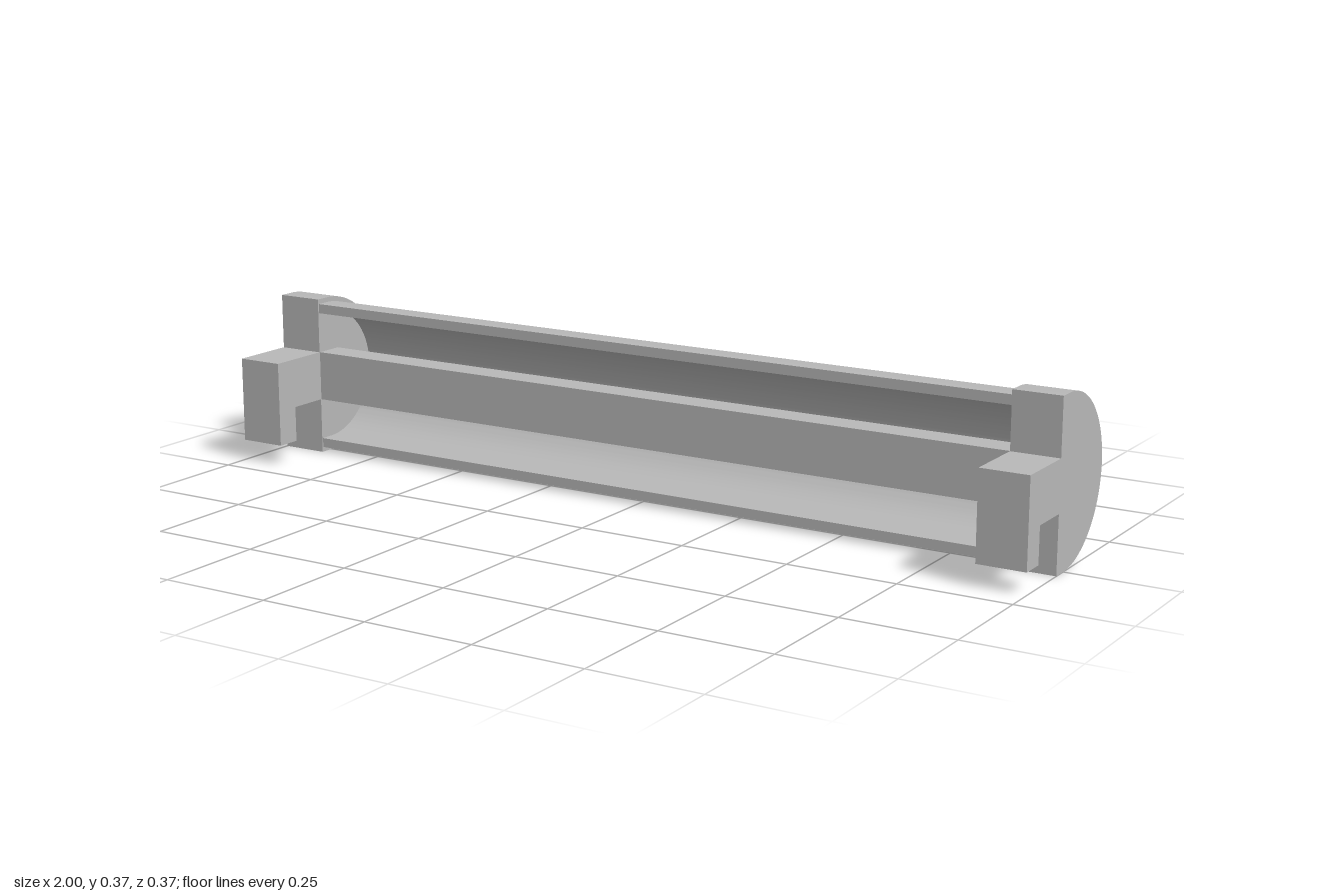
import * as THREE from 'three';
import { toCreasedNormals } from 'three/addons/utils/BufferGeometryUtils.js';

const CY = 0.1865; // height of the tube axis
const CAP = 0.11; // end cap width
const SPAN = 1.78; // trough length between the caps

// Extrude a side profile (u = -z, v = y) along x, centred on x = 0
function extrudeAlongX(shape, width) {
  const geometry = new THREE.ExtrudeGeometry(shape, { depth: width, bevelEnabled: false, curveSegments: 48 });
  geometry.translate(0, 0, -width / 2);
  geometry.rotateY(Math.PI / 2);
  return toCreasedNormals(geometry, 0.5);
}

export function createModel() {
  const model = new THREE.Group();
  model.name = 'wallTrough';
  const grey = new THREE.MeshStandardMaterial({ color: 0xb8b8b8 });
  grey.name = 'grey';

  const add = (name, geometry, x, y = 0, z = 0) => {
    const mesh = new THREE.Mesh(geometry, grey);
    mesh.name = name;
    mesh.position.set(x, y, z);
    model.add(mesh);
  };

  // End cap: D-shaped plate with a hooked arm on its flat front
  const cap = new THREE.Shape();
  cap.moveTo(-0.035, 0);
  cap.lineTo(0, 0);
  cap.absarc(0, CY, CY, -Math.PI / 2, Math.PI / 2, false);
  cap.lineTo(-0.035, CY * 2);
  for (const [u, v] of [[-0.035, 0.245], [-0.187, 0.245], [-0.187, 0.048], [-0.13, 0.048], [-0.13, 0.13], [-0.035, 0.13]]) {
    cap.lineTo(u, v);
  }
  cap.closePath();
  const capGeometry = extrudeAlongX(cap, CAP);
  add('leftEndCap', capGeometry, 1 - CAP / 2);
  add('rightEndCap', capGeometry, -1 + CAP / 2);

  // Trough: thin half tube with short straight lips, open to the front
  const outer = 0.175, inner = 0.153, lip = -0.032;
  const trough = new THREE.Shape();
  trough.moveTo(lip, CY - outer);
  trough.lineTo(0, CY - outer);
  trough.absarc(0, CY, outer, -Math.PI / 2, Math.PI / 2, false);
  trough.lineTo(lip, CY + outer);
  trough.lineTo(lip, CY + inner);
  trough.lineTo(0, CY + inner);
  trough.absarc(0, CY, inner, Math.PI / 2, -Math.PI / 2, true);
  trough.lineTo(lip, CY - inner);
  trough.closePath();
  add('trough', extrudeAlongX(trough, SPAN), 0);

  // Bar joining the two caps across the opening
  add('crossBar', new THREE.BoxGeometry(SPAN, 0.115, 0.067), 0, 0.1875, 0);

  return model;
}
